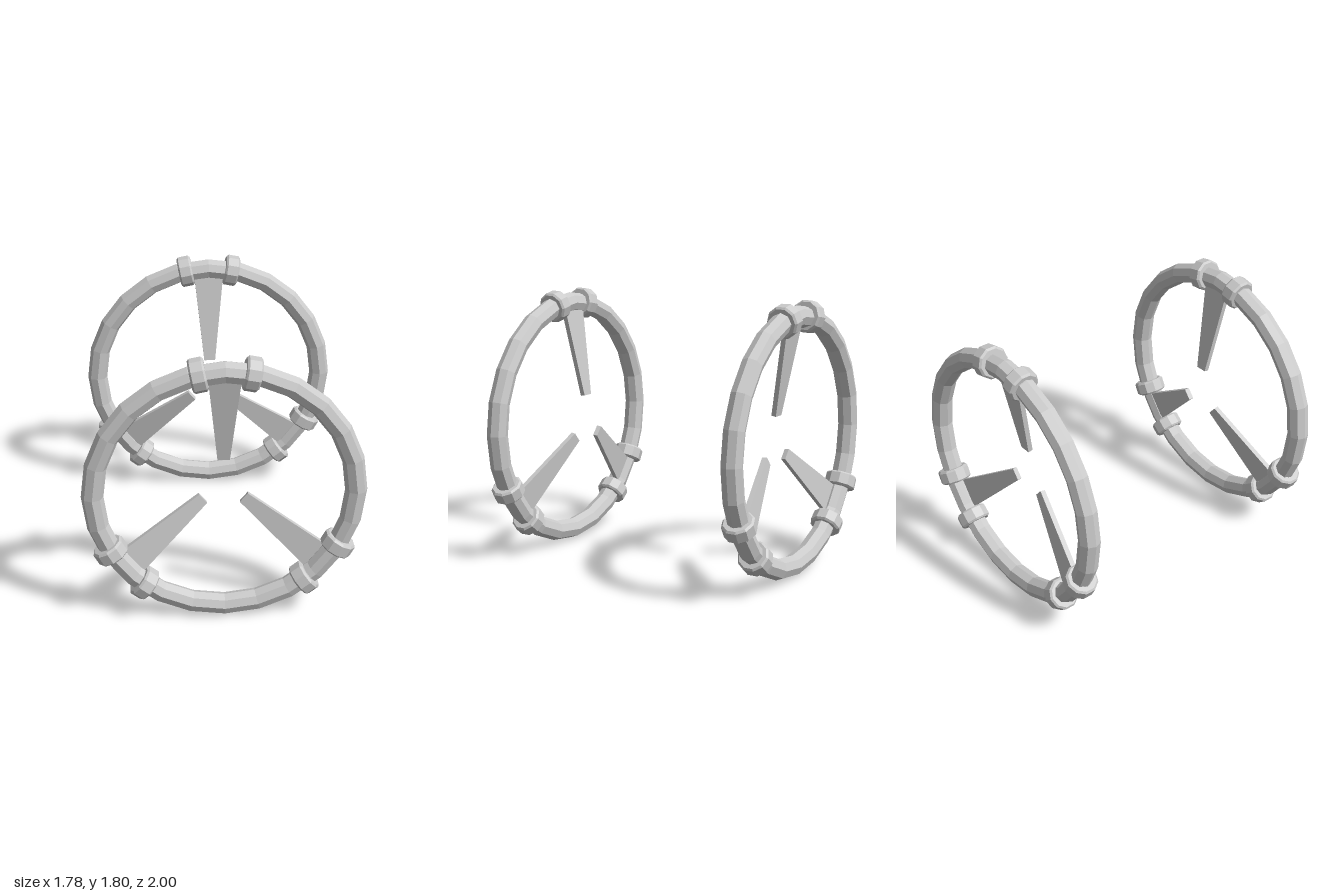
import * as THREE from 'three';

const RING_R = 0.82, TUBE_R = 0.07, CENTRE_Y = 0.89, RING_Z = 0.893;

// Flat blade from tip to root, wide at the root and narrow at the tip
function bladeGeometry() {
  const tip = new THREE.Vector2(0.17, -0.134); // (radius, depth)
  const root = new THREE.Vector2(0.8, -0.022);
  const geo = new THREE.BoxGeometry(1, tip.distanceTo(root), 0.033);
  const pos = geo.attributes.position;
  for (let i = 0; i < pos.count; i++) {
    pos.setX(i, pos.getX(i) * (pos.getY(i) > 0 ? 0.21 : 0.078));
  }
  geo.rotateX(Math.atan2(root.y - tip.y, root.x - tip.x));
  geo.translate(0, (tip.x + root.x) / 2, (tip.y + root.y) / 2);
  geo.computeVertexNormals();
  return geo;
}

// Short bevelled sleeve, axis along x
function collarGeometry() {
  const profile = [[0.06, -0.048], [0.094, -0.048], [0.107, -0.036],
    [0.107, 0.036], [0.094, 0.048], [0.06, 0.048]];
  const geo = new THREE.LatheGeometry(profile.map(([r, y]) => new THREE.Vector2(r, y)), 10);
  return geo.rotateZ(Math.PI / 2);
}

export function createModel() {
  const model = new THREE.Group();
  model.name = 'ringPair';
  const material = new THREE.MeshStandardMaterial({ color: 0xcccccc, flatShading: true });
  const ringGeo = new THREE.TorusGeometry(RING_R, TUBE_R, 8, 24);
  const bladeGeo = bladeGeometry();
  const collarGeo = collarGeometry();

  const add = (parent, geo, name) => {
    const mesh = new THREE.Mesh(geo, material);
    mesh.name = name;
    parent.add(mesh);
    return mesh;
  };

  for (const side of [1, -1]) {
    const assembly = new THREE.Group();
    assembly.name = side > 0 ? 'frontRing' : 'backRing';
    add(assembly, ringGeo, 'hoop');

    // Three blades, each held between two collars
    [['top', 0], ['left', -130], ['right', 130]].forEach(([label, degrees]) => {
      const mount = new THREE.Group();
      mount.name = label + 'Mount';
      mount.rotation.z = THREE.MathUtils.degToRad(degrees);
      add(mount, bladeGeo, 'blade');
      for (const s of [1, -1]) {
        const a = THREE.MathUtils.degToRad(11.4) * s;
        const collar = add(mount, collarGeo, 'collar');
        collar.position.set(Math.sin(a) * RING_R, Math.cos(a) * RING_R, 0);
        collar.rotation.z = -a;
      }
      assembly.add(mount);
    });

    // The blades of both rings lean towards the middle
    assembly.position.set(0, CENTRE_Y, side * RING_Z);
    if (side < 0) assembly.rotation.y = Math.PI;
    model.add(assembly);
  }
  return model;
}
